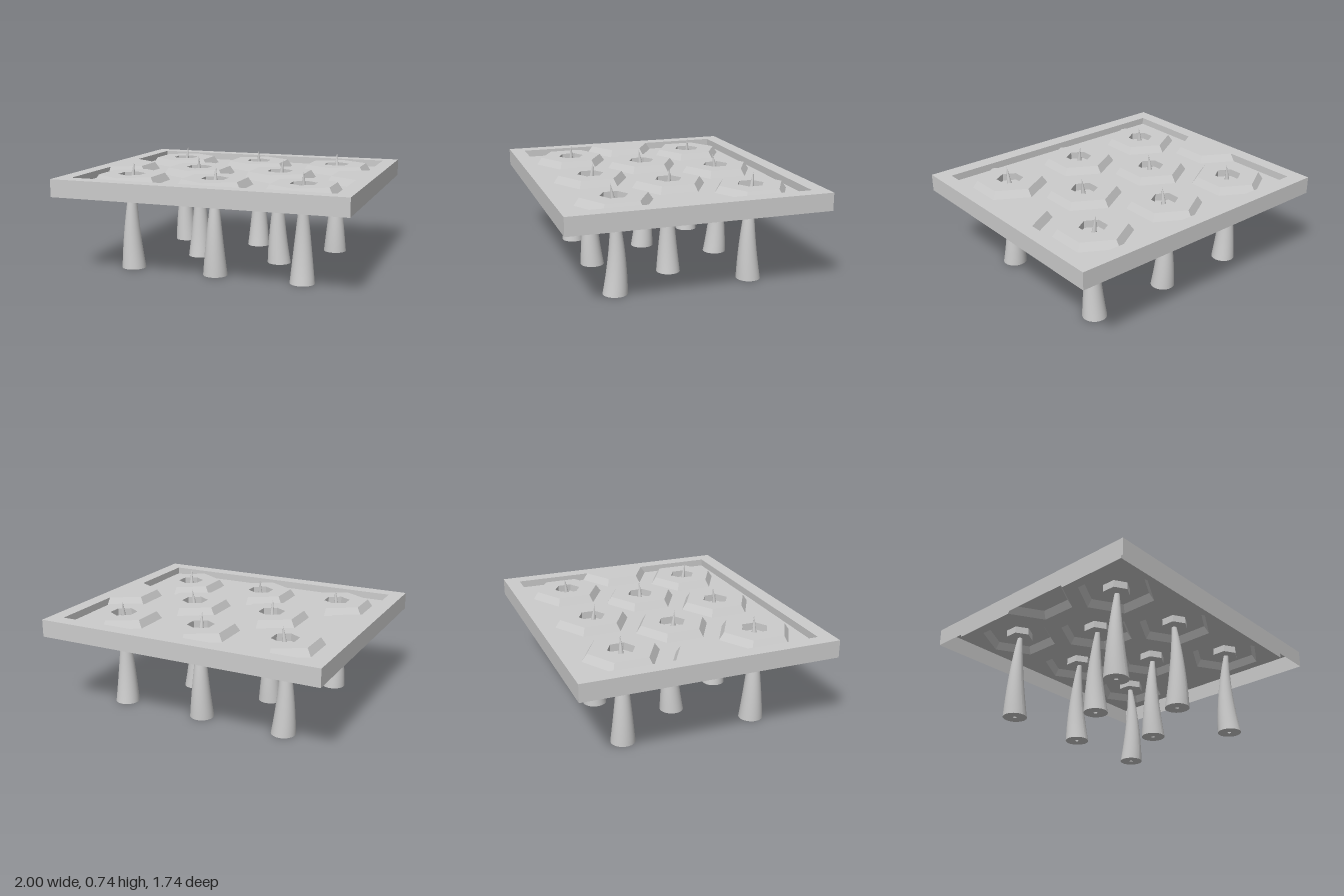
import * as THREE from 'three';

const TOP = 0.66, FLOOR = 0.61, BOTTOM = 0.54, HORN_H = 0.735;
const BASE_R = 0.26, TOP_R = 0.225, PIT_R = 0.093;

const flat = new THREE.MeshStandardMaterial({ color: 0xcccccc, flatShading: true, side: THREE.DoubleSide });
const smooth = new THREE.MeshStandardMaterial({ color: 0xcccccc, side: THREE.DoubleSide });

function add(group, name, geometry, material = flat) {
  const mesh = new THREE.Mesh(geometry, material);
  mesh.name = name;
  group.add(mesh);
  return mesh;
}

// Loops are lists of [x, z] points
const rect = (w, d) => [[-w, -d], [-w, d], [w, d], [w, -d]];

function hex(cx, cz, r) {
  return Array.from({ length: 6 }, (_, i) => {
    const a = Math.PI / 2 - i * Math.PI / 3;
    return [cx + r * Math.cos(a), cz + r * Math.sin(a)];
  }).reverse();
}

// Rectangular opening with a half hexagon biting into its left and right edges
function opening(r) {
  const w = 0.9, d = 0.767, f = w - r * Math.cos(Math.PI / 6);
  return [
    [-w, -d], [-w, -r], [-f, -r / 2], [-f, r / 2], [-w, r], [-w, d],
    [w, d], [w, r], [f, r / 2], [f, -r / 2], [w, -r], [w, -d],
  ];
}

// Horizontal sheet with holes
function sheet(loop, y, holes = []) {
  const pts = (l) => l.map(([x, z]) => new THREE.Vector2(x, -z));
  const shape = new THREE.Shape(pts(loop));
  holes.forEach((h) => shape.holes.push(new THREE.Path(pts(h))));
  return new THREE.ShapeGeometry(shape).rotateX(-Math.PI / 2).translate(0, y, 0);
}

// Wall strip joining two loops with the same number of points
function wall(low, yLow, high, yHigh) {
  const pos = [];
  low.forEach((p, i) => {
    const j = (i + 1) % low.length;
    const a = [p[0], yLow, p[1]], b = [low[j][0], yLow, low[j][1]];
    const c = [high[j][0], yHigh, high[j][1]], d = [high[i][0], yHigh, high[i][1]];
    pos.push(...a, ...b, ...c, ...a, ...c, ...d);
  });
  const g = new THREE.BufferGeometry();
  g.setAttribute('position', new THREE.Float32BufferAttribute(pos, 3));
  g.computeVertexNormals();
  return g;
}

// Tapering horn whose centre line bows away, then curls towards its tip
function horn(dx, dz) {
  const g = new THREE.CylinderGeometry(0.001, 0.083, HORN_H, 32, 16, true).translate(0, HORN_H / 2, 0);
  const p = g.attributes.position;
  for (let i = 0; i < p.count; i++) {
    const t = p.getY(i) / HORN_H;
    const k = t < 0.98 ? Math.pow(1 - t, -0.1) : 1;
    const bend = 4 * t * t - 3 * t;
    p.setX(i, p.getX(i) * k + dx * bend);
    p.setZ(i, p.getZ(i) * k + dz * bend);
  }
  g.computeVertexNormals();
  return g;
}

// Tile centre x, z and the sideways curl of its horn tip
const TILES = [
  [-0.605, -0.472, 0.018, 0], [0.003, -0.472, 0.003, 0.025], [0.61, -0.472, -0.005, -0.02],
  [-0.297, 0, 0.003, 0.022], [0.313, 0, 0.022, 0],
  [-0.605, 0.465, 0.016, 0], [0.003, 0.465, 0, -0.02], [0.61, 0.465, 0.006, 0.025],
];

export function createModel() {
  const model = new THREE.Group();
  model.name = 'hornedTileTray';

  // Open-bottomed frame and sunken panel
  const outer = rect(1, 0.87);
  const frame = new THREE.Group();
  frame.name = 'frame';
  model.add(frame);
  add(frame, 'frameOuterWall', wall(outer, BOTTOM, outer, TOP));
  add(frame, 'frameRim', sheet(outer, TOP, [opening(TOP_R)]));
  add(frame, 'frameInnerWall', wall(opening(BASE_R), FLOOR, opening(TOP_R), TOP));
  add(frame, 'panel', sheet(opening(BASE_R), FLOOR, TILES.map(([x, z]) => hex(x, z, BASE_R))));

  // Bevelled hexagonal tiles, each with a pit and a horn
  TILES.forEach(([x, z, dx, dz]) => {
    const tile = new THREE.Group();
    tile.name = 'tile';
    tile.position.set(x, 0, z);
    const top = hex(0, 0, TOP_R), pit = hex(0, 0, PIT_R);
    add(tile, 'tileBevel', wall(hex(0, 0, BASE_R), FLOOR, top, TOP));
    add(tile, 'tileTop', sheet(top, TOP, [pit]));
    add(tile, 'pitWall', wall(pit, FLOOR, pit, TOP));
    add(tile, 'pitFloor', sheet(pit, FLOOR));
    add(tile, 'horn', horn(dx, dz), smooth);
    add(tile, 'hornFoot', new THREE.RingGeometry(0.013, 0.083, 32).rotateX(Math.PI / 2));
    model.add(tile);
  });
  return model;
}
